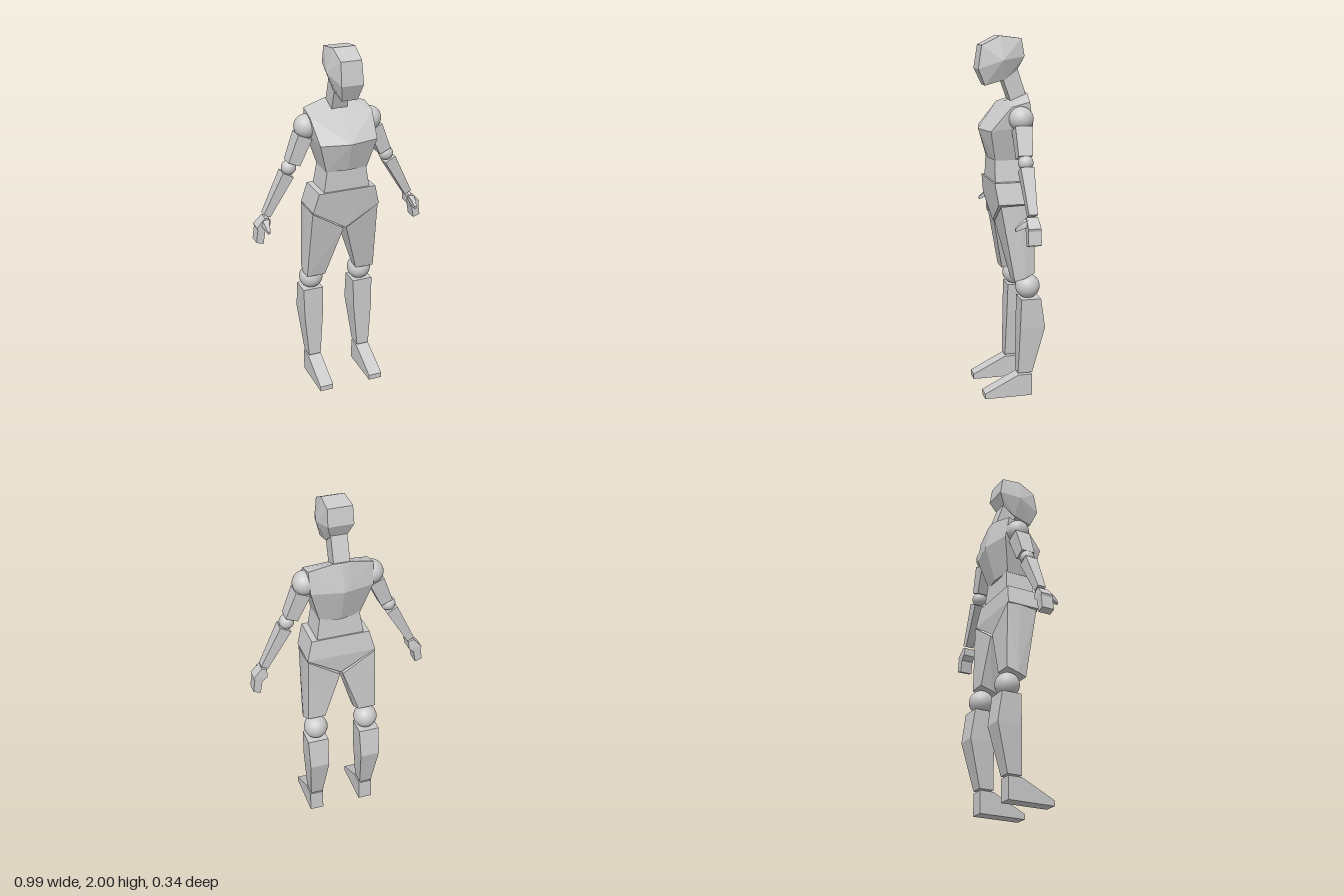
import * as THREE from 'three';
import { ConvexGeometry } from 'three/addons/geometries/ConvexGeometry.js';

const flat = new THREE.MeshStandardMaterial({ color: 0xcccccc, flatShading: true });
const smooth = new THREE.MeshStandardMaterial({ color: 0xcccccc });

// Faceted block around its corner points, x scaled by side (1 or -1)
function block(name, points, side = 1) {
  const pts = points.map(([x, y, z]) => new THREE.Vector3(x * side, y, z));
  const mesh = new THREE.Mesh(new ConvexGeometry(pts), flat);
  mesh.name = name;
  return mesh;
}

// Corner points repeated on both sides of the body
const bothSides = (points) => points.flatMap(([x, y, z]) => [[x, y, z], [-x, y, z]]);

// Rectangle of corners at height y
const rect = (y, x0, x1, z0, z1) => [[x0, y, z0], [x1, y, z0], [x0, y, z1], [x1, y, z1]];

// Tapered bar in the x-y plane; each end is [x, y, width, zBack, zFront]
function bar(name, a, b, side) {
  const len = Math.hypot(b[0] - a[0], b[1] - a[1]);
  const nx = (a[1] - b[1]) / len, ny = (b[0] - a[0]) / len;
  const pts = [];
  for (const [x, y, w, z0, z1] of [a, b])
    for (const h of [-w / 2, w / 2])
      for (const z of [z0, z1]) pts.push([x + nx * h, y + ny * h, z]);
  return block(name, pts, side);
}

function ball(name, r, x, y, z) {
  const mesh = new THREE.Mesh(new THREE.SphereGeometry(r, 32, 20), smooth);
  mesh.position.set(x, y, z);
  mesh.name = name;
  return mesh;
}

function createArm(s) {
  const arm = new THREE.Group();
  arm.name = s > 0 ? 'leftArm' : 'rightArm';
  arm.add(
    ball('shoulderJoint', 0.066, s * 0.185, 1.567, -0.035),
    bar('upperArm', [0.205, 1.52, 0.085, -0.08, 0.012], [0.268, 1.372, 0.07, -0.07, 0.008], s),
    ball('elbowJoint', 0.041, s * 0.288, 1.347, -0.033),
    bar('forearm', [0.302, 1.316, 0.068, -0.068, 0.005], [0.425, 1.09, 0.042, -0.057, -0.01], s),
    block('palm', [-0.065, 0.005].flatMap((z) => [
      [0.442, 1.087, z * 0.9], [0.412, 1.073, z * 0.9], [0.415, 1.03, z],
      [0.443, 1.005, z], [0.485, 1.02, z], [0.49, 1.035, z],
    ]), s),
    block('fingers', [-0.065, 0.005].flatMap((z) => [
      [0.443, 1.01, z], [0.484, 1.03, z], [0.496, 0.948, z], [0.456, 0.935, z],
    ]), s),
    block('thumb', [
      [0.418, 1.08, 0], [0.455, 1.075, 0], [0.42, 1.045, 0], [0.462, 1.04, 0],
      [0.428, 1.055, 0.035], [0.452, 1.055, 0.035],
      [0.432, 1.03, 0.063], [0.446, 1.03, 0.063], [0.432, 1.015, 0.06], [0.446, 1.015, 0.06],
    ], s),
  );
  return arm;
}

function createLeg(s) {
  const leg = new THREE.Group();
  leg.name = s > 0 ? 'leftLeg' : 'rightLeg';
  leg.add(
    block('thigh', [
      [0.193, 1.095, 0.078], [0.2, 1.1, -0.03], [0.193, 1.1, -0.105],
      [0.008, 0.978, 0.07], [0.008, 0.978, -0.1],
      [0.203, 0.675, 0.003], [0.212, 0.69, -0.05], [0.2, 0.715, -0.11],
      [0.095, 0.675, 0.003], [0.09, 0.69, -0.05], [0.1, 0.715, -0.11],
    ], s),
    ball('kneeJoint', 0.068, s * 0.15, 0.632, -0.083),
    block('shin', [
      ...rect(0.57, 0.095, 0.213, -0.145, -0.033),
      ...rect(0.4, 0.098, 0.21, -0.17, -0.028),
      ...rect(0.135, 0.118, 0.19, -0.102, -0.02),
    ], s),
    block('foot', [
      ...rect(0, 0.115, 0.194, -0.1, 0.17),
      ...rect(0.125, 0.115, 0.194, -0.1, -0.02),
      [0.115, 0.03, 0.17], [0.194, 0.03, 0.17],
    ], s),
  );
  return leg;
}

export function createModel() {
  const model = new THREE.Group();
  model.name = 'jointedFigure';
  model.add(
    block('head', bothSides([
      [0.063, 2.0, 0.05], [0.068, 1.985, -0.067], [0.07, 1.89, -0.083],
      [0.045, 1.815, -0.047], [0.05, 1.765, 0.02], [0.045, 1.735, 0.13],
      [0.062, 1.825, 0.17], [0.058, 1.95, 0.15], [0.095, 1.87, 0.04],
    ])),
    block('neck', bothSides([
      [0.045, 1.78, 0.035], [0.045, 1.83, -0.048],
      [0.045, 1.64, -0.015], [0.045, 1.675, -0.1],
    ])),
    // Chest with a ridge down the middle of front and back
    block('chest', [
      [0, 1.69, -0.11], [0, 1.53, -0.143], [0, 1.33, -0.082],
      [0, 1.65, 0], [0, 1.5, 0.16], [0, 1.338, 0.108],
      ...bothSides([
        [0.045, 1.69, -0.105], [0.178, 1.655, -0.085], [0.172, 1.53, -0.105],
        [0.115, 1.335, -0.06], [0.18, 1.63, 0.015], [0.163, 1.5, 0.125],
        [0.118, 1.338, 0.092],
      ]),
    ]),
    block('waist', [
      ...rect(1.35, -0.112, 0.112, -0.065, 0.093),
      ...rect(1.21, -0.134, 0.134, -0.078, 0.095),
    ]),
    block('pelvis', [
      ...rect(1.22, -0.165, 0.165, -0.085, 0.105),
      ...rect(1.105, -0.195, 0.195, -0.1, 0.09),
      [0, 0.985, 0.08], [0, 0.985, -0.09],
    ]),
  );
  for (const s of [1, -1]) model.add(createArm(s), createLeg(s));
  return model;
}
